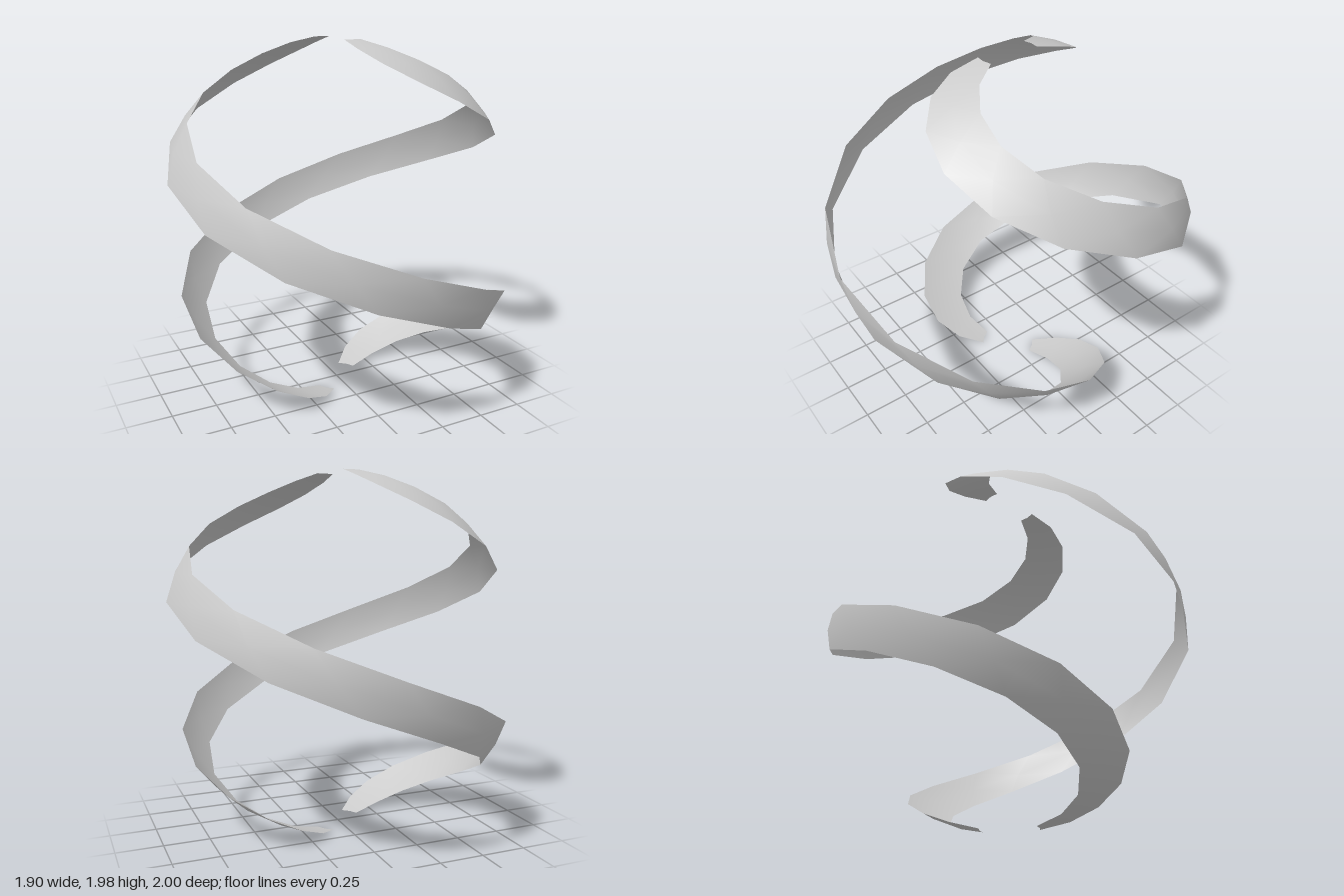
import * as THREE from 'three';

const deg = Math.PI / 180;
const END = 9 * deg;        // polar angle where each ribbon starts and stops
const WIDTH = 36 * deg;     // angular width of a ribbon
const TWIST = 154.5 * deg;  // turn about y per unit of height
const MIDDLE = 130 * deg;   // heading of the leading edge at the equator

// A flat strip wrapped onto a unit sphere, its heading linear in height
function ribbonGeometry() {
  const geo = new THREE.PlaneGeometry(1, 1, 2, 18);
  const pos = geo.attributes.position;
  for (let i = 0; i < pos.count; i++) {
    const across = pos.getX(i) + 0.5;
    const down = 0.5 - pos.getY(i);
    const phi = END + down * (Math.PI - 2 * END);
    const theta = MIDDLE + TWIST * Math.cos(phi) - WIDTH * across;
    const r = Math.sin(phi);
    pos.setXYZ(i, r * Math.cos(theta), Math.cos(phi) + Math.cos(END), r * Math.sin(theta));
  }
  geo.computeVertexNormals();
  return geo;
}

export function createModel() {
  const model = new THREE.Group();
  model.name = 'spiralSphere';
  const geometry = ribbonGeometry();
  const material = new THREE.MeshStandardMaterial({ color: 0xcccccc, side: THREE.DoubleSide });

  // Two identical ribbons, half a turn apart
  ['firstRibbon', 'secondRibbon'].forEach((name, i) => {
    const ribbon = new THREE.Mesh(geometry, material);
    ribbon.name = name;
    ribbon.rotation.y = i * Math.PI;
    model.add(ribbon);
  });
  return model;
}
